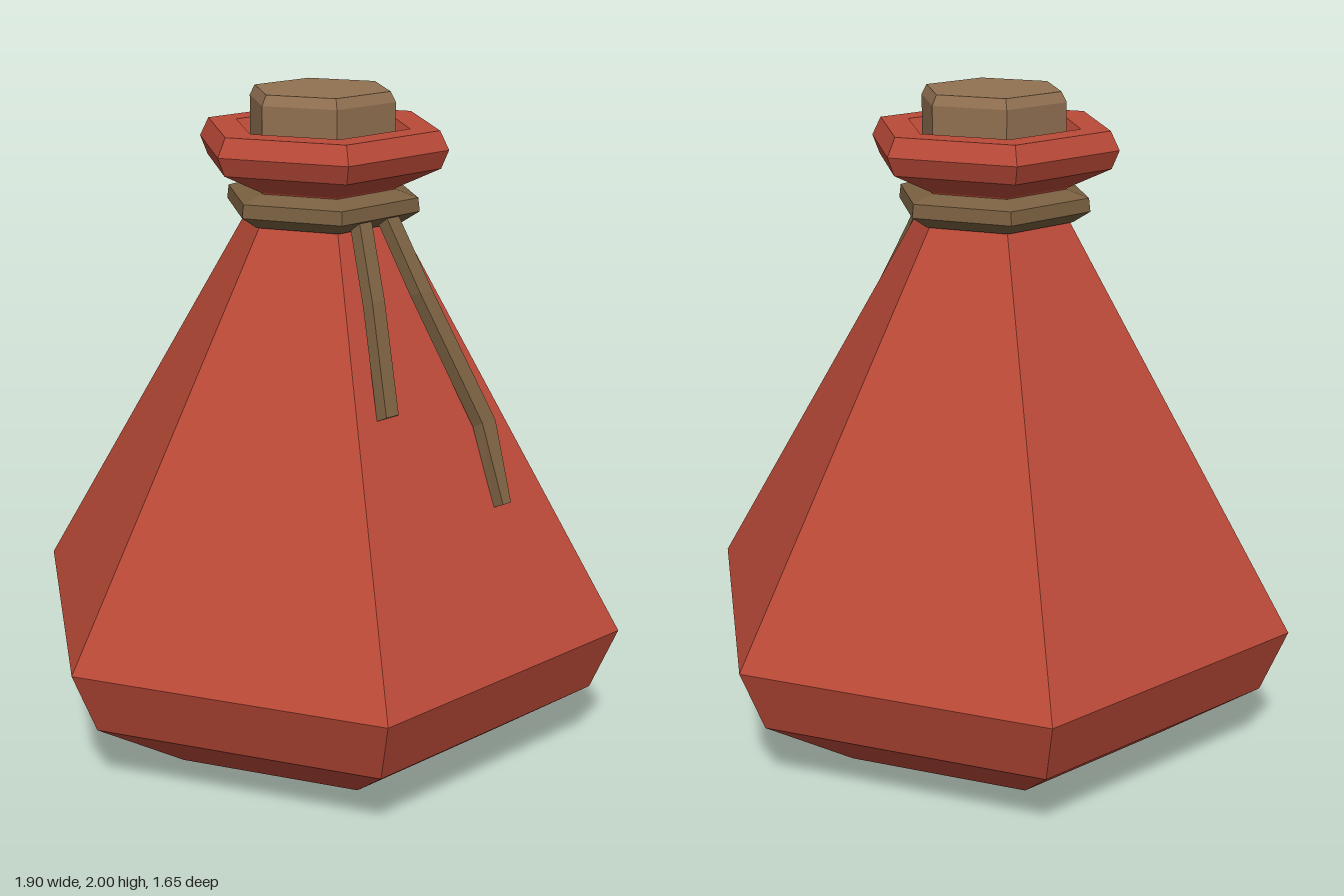
import * as THREE from 'three';

const material = (name, color) => {
  const m = new THREE.MeshStandardMaterial({ color, flatShading: true });
  m.name = name;
  return m;
};

// Six-sided turned part with corners on the x axis
function hexLathe(name, profile, mat) {
  const points = profile.map(([r, y]) => new THREE.Vector2(r, y));
  const geometry = new THREE.LatheGeometry(points, 6, Math.PI / 6).toNonIndexed();
  geometry.computeVertexNormals();
  const mesh = new THREE.Mesh(geometry, mat);
  mesh.name = name;
  return mesh;
}

// Cord with a bevelled four-sided section swept down a path of [x, y, z, width scale]
function cordEnd(name, path, mat) {
  const section = [[-0.04, -0.02], [0.04, -0.02], [0.012, 0.018], [-0.035, 0.018]];
  const rings = path.map(([x, y, z, s]) => section.map(([u, n]) =>
    [x + u * s, y + n * 0.45, z + n * 0.89]));
  const positions = [];
  const quad = (a, b, c, d) => positions.push(...a, ...b, ...c, ...a, ...c, ...d);
  for (let i = 0; i < rings.length - 1; i++) {
    for (let k = 0; k < 4; k++) {
      const j = (k + 1) % 4;
      quad(rings[i][k], rings[i][j], rings[i + 1][j], rings[i + 1][k]);
    }
  }
  quad(...rings[rings.length - 1]);
  quad(...[...rings[0]].reverse());
  const geometry = new THREE.BufferGeometry();
  geometry.setAttribute('position', new THREE.Float32BufferAttribute(positions, 3));
  geometry.computeVertexNormals();
  const mesh = new THREE.Mesh(geometry, mat);
  mesh.name = name;
  return mesh;
}

export function createModel() {
  const red = material('red glaze', 0xbb4a38);
  const cork = material('cork', 0x927152);
  const rope = material('rope', 0x7a6041);
  const group = new THREE.Group();
  group.name = 'flask';

  group.add(
    // Bottle wall, flared lip and hollow mouth in one profile
    hexLathe('bottle', [
      [0, 0], [0.56, 0], [0.87, 0.21], [0.95, 0.41], [0.24, 1.62], [0.21, 1.68],
      [0.23, 1.72], [0.365, 1.785], [0.388, 1.84], [0.36, 1.895],
      [0.27, 1.895], [0.22, 1.82], [0, 1.82],
    ], red),
    hexLathe('stopper', [[0, 1.8], [0.226, 1.8], [0.226, 1.97], [0.21, 2], [0, 2]], cork),
    hexLathe('neckCord', [
      [0.2, 1.62], [0.25, 1.62], [0.303, 1.655], [0.298, 1.695], [0.2, 1.725],
    ], rope),
    // Loose cord ends hanging down the front
    cordEnd('shortCordEnd', [
      [-0.04, 1.66, 0.23, 1], [-0.093, 1.44, 0.35, 1], [-0.15, 1.14, 0.475, 1],
    ], rope),
    cordEnd('longCordEnd', [
      [0.06, 1.66, 0.23, 1], [0.09, 1.44, 0.355, 1.05],
      [0.197, 1.06, 0.52, 1.15], [0.168, 0.84, 0.625, 0.7],
    ], rope),
  );
  return group;
}
